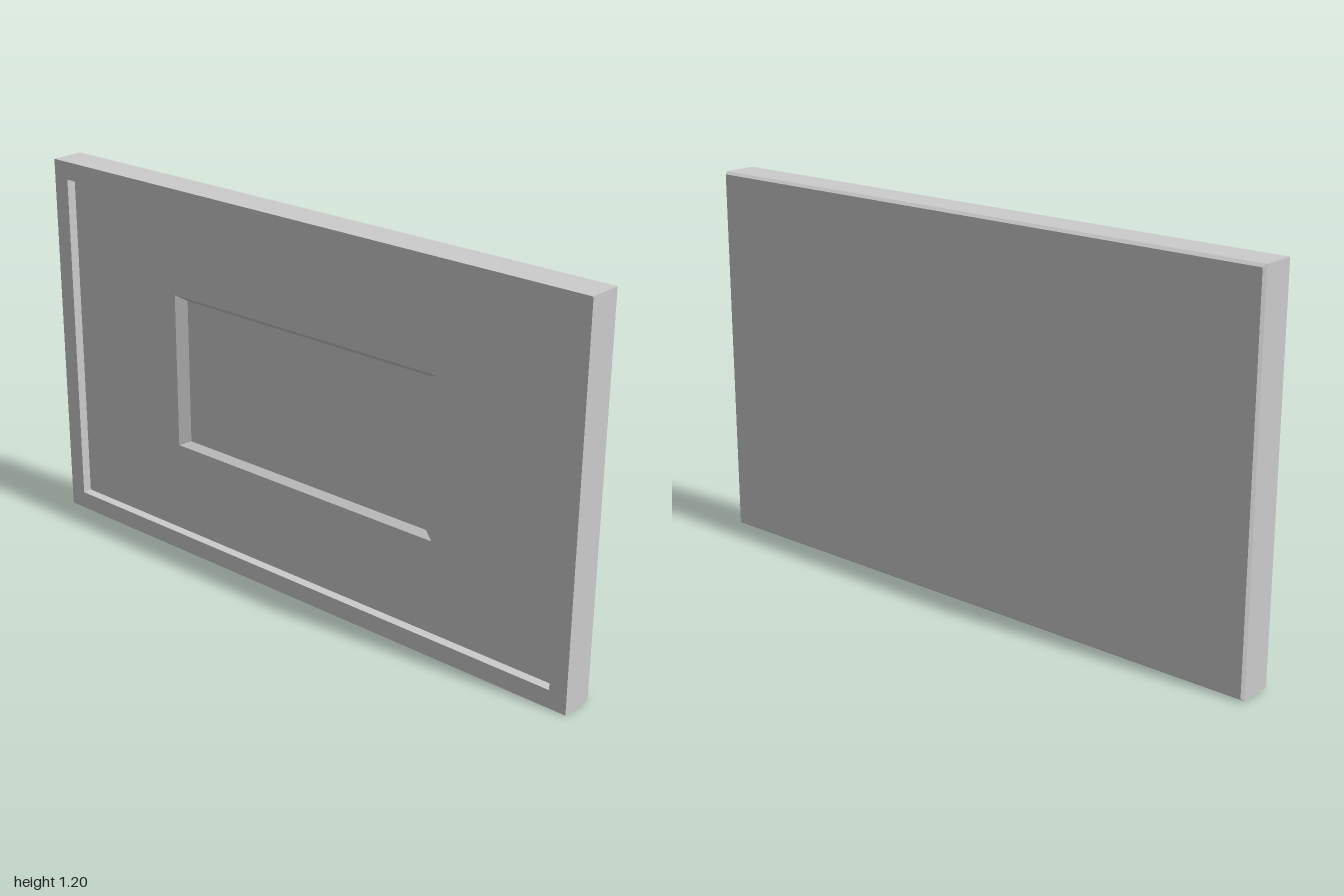
import * as THREE from 'three';

// Rectangular ring: half width, bottom, top, depth
const rect = (w, y0, y1, z) => [[-w, y0, z], [w, y0, z], [w, y1, z], [-w, y1, z]];

// Joins successive rectangles with mitred strips; optionally closes the last one
function loft(rings, closeEnd) {
  const pos = [];
  const quad = (a, b, c, d) => pos.push(...a, ...b, ...c, ...a, ...c, ...d);
  for (let r = 0; r < rings.length - 1; r++) {
    for (let i = 0; i < 4; i++) {
      const j = (i + 1) % 4;
      quad(rings[r][i], rings[r][j], rings[r + 1][j], rings[r + 1][i]);
    }
  }
  if (closeEnd) quad(...rings[rings.length - 1]);
  const geometry = new THREE.BufferGeometry();
  geometry.setAttribute('position', new THREE.Float32BufferAttribute(pos, 3));
  geometry.computeVertexNormals();
  return geometry;
}

export function createModel() {
  const group = new THREE.Group();
  group.name = 'framedPanel';
  const grey = new THREE.MeshStandardMaterial({ color: 0xcccccc });
  grey.name = 'grey';

  const add = (name, geometry) => {
    const mesh = new THREE.Mesh(geometry, grey);
    mesh.name = name;
    group.add(mesh);
  };

  const front = 0.06, field = 0.03, floor = 0.01, shoulder = -0.048, back = -0.059;

  // Mitred border: chamfered back edge, outer sides, front face, inner lip
  add('frame', loft([
    rect(0.994, 0.008, 1.192, back),
    rect(1, 0, 1.2, shoulder),
    rect(1, 0, 1.2, front),
    rect(0.943, 0.057, 1.143, front),
    rect(0.943, 0.057, 1.143, field),
  ], false));

  // Recessed field with a sloped-sided sunken rectangle in its middle
  add('frontPanel', loft([
    rect(0.943, 0.057, 1.143, field),
    rect(0.505, 0.35, 0.853, field),
    rect(0.47, 0.367, 0.836, floor),
  ], true));

  // Flat back
  const backPanel = new THREE.PlaneGeometry(1.988, 1.184);
  backPanel.rotateY(Math.PI).translate(0, 0.6, back);
  add('backPanel', backPanel);

  return group;
}
